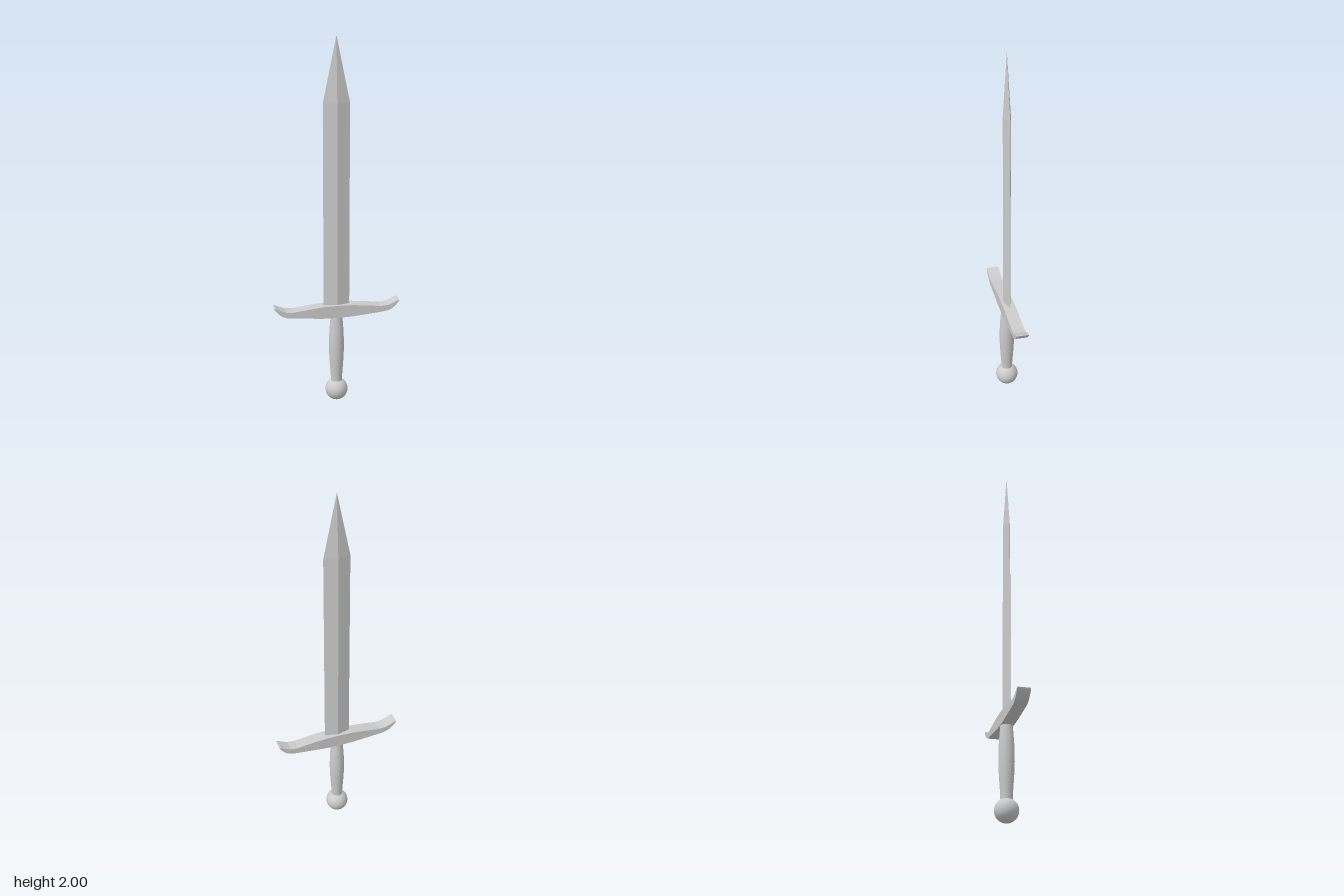
import * as THREE from 'three';

const flat = new THREE.MeshStandardMaterial({ color: 0xcccccc, flatShading: true });
const smooth = new THREE.MeshStandardMaterial({ color: 0xcccccc });

function add(group, name, geometry, material, y = 0) {
  const mesh = new THREE.Mesh(geometry, material);
  mesh.name = name;
  mesh.position.y = y;
  group.add(mesh);
  return mesh;
}

// Crossguard outline: right half drawn out along the top and back along the
// bottom, then the same curves mirrored.
function guardShape() {
  const top = [[0, 0.566], [0.08, 0.564], [0.16, 0.556], [0.24, 0.546], [0.28, 0.549], [0.315, 0.563], [0.335, 0.573], [0.345, 0.574]];
  const bottom = [[0.342, 0.566], [0.325, 0.546], [0.305, 0.529], [0.28, 0.518], [0.25, 0.513], [0.17, 0.506], [0.08, 0.498], [0, 0.496]];
  const half = [...top, ...bottom];
  const mirrored = half.slice(1, -1).reverse().map(([x, y]) => [-x, y]);
  return new THREE.Shape([...half, ...mirrored].map(([x, y]) => new THREE.Vector2(x, y)));
}

export function createModel() {
  const sword = new THREE.Group();
  sword.name = 'sword';

  // Blade: diamond section, straight run and then a four-sided point
  const bladeWidth = 0.071, bladeDepth = 0.021;
  const bladeBase = 0.55, shoulder = 1.66, tip = 2;
  const blade = new THREE.Group();
  blade.name = 'blade';
  sword.add(blade);
  const run = new THREE.CylinderGeometry(1, 1, shoulder - bladeBase, 4, 1, true);
  run.scale(bladeWidth, 1, bladeDepth);
  add(blade, 'bladeBody', run, flat, (bladeBase + shoulder) / 2);
  const point = new THREE.ConeGeometry(1, tip - shoulder, 4, 1, true);
  point.scale(bladeWidth, 1, bladeDepth);
  add(blade, 'bladePoint', point, flat, (shoulder + tip) / 2);

  // Crossguard with upturned ends
  const guard = new THREE.ExtrudeGeometry(guardShape(), { depth: 0.068, bevelEnabled: false });
  guard.translate(0, 0, -0.034);
  add(sword, 'crossguard', guard, flat);

  // Grip, swelling towards the middle
  const profile = new THREE.SplineCurve([
    [0.03, 0.1], [0.032, 0.15], [0.037, 0.22], [0.041, 0.31], [0.039, 0.4], [0.034, 0.47], [0.031, 0.51],
  ].map(([r, y]) => new THREE.Vector2(r, y)));
  add(sword, 'grip', new THREE.LatheGeometry(profile.getPoints(18), 32), smooth);

  // Pommel ball
  add(sword, 'pommel', new THREE.SphereGeometry(0.062, 32, 20), smooth, 0.062);

  return sword;
}
